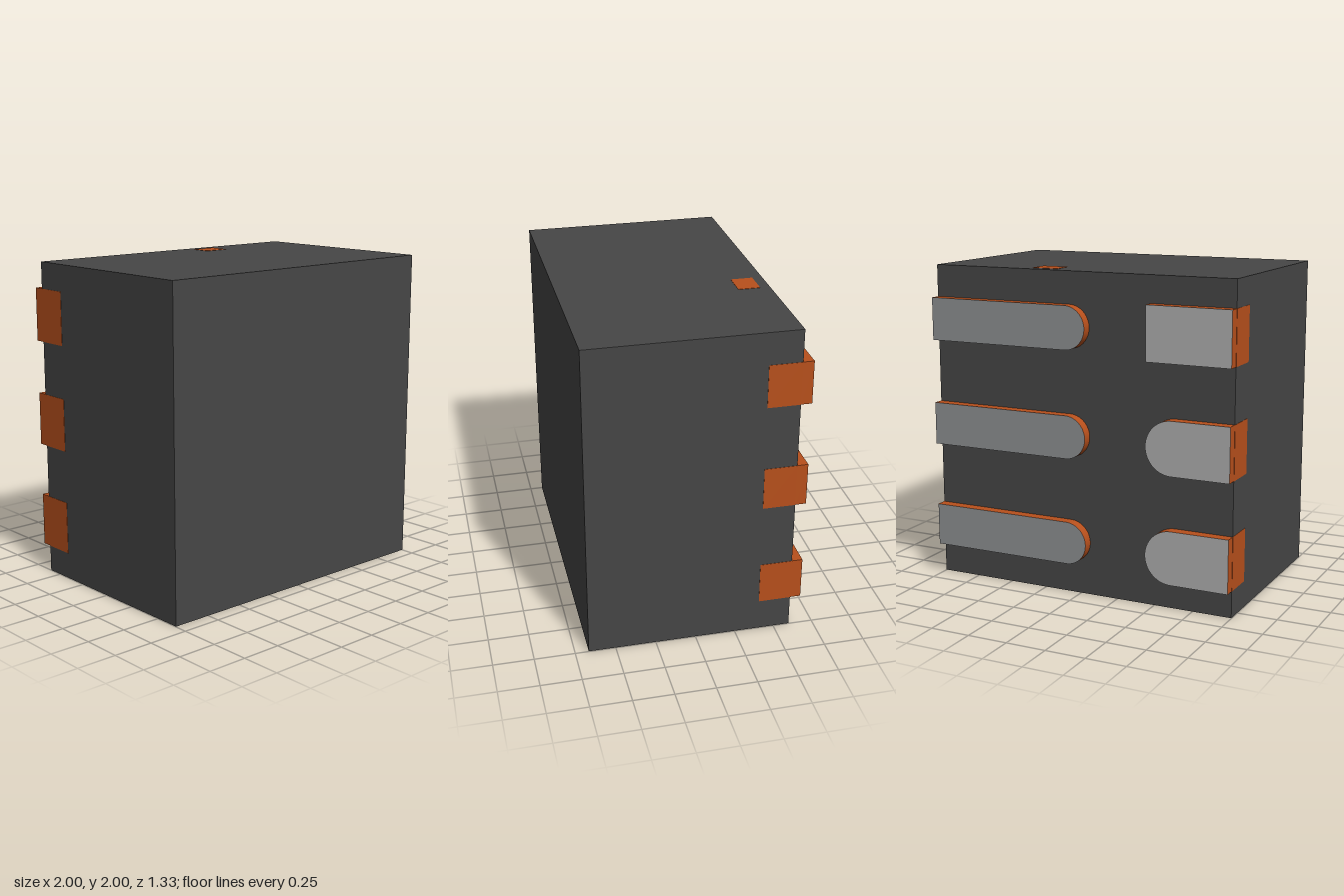
import * as THREE from 'three';

const paint = (color) => new THREE.MeshStandardMaterial({ color });

export function createModel() {
  const model = new THREE.Group();
  const dark = paint(0x464646), copper = paint(0xb8501c);
  const longFace = paint(0x8e9092), shortFace = paint(0xafafaf);
  const backZ = -0.6, padZ = -0.667, skin = 0.002;

  const add = (name, geometry, material, x, y, z) => {
    const mesh = new THREE.Mesh(geometry, material);
    mesh.name = name;
    mesh.position.set(x, y, z);
    model.add(mesh);
  };

  // Package block
  add('body', new THREE.BoxGeometry(2, 2, 1.267), dark, 0, 1, 0.0335);

  // Contact pad running from a side edge (side = +1 or -1) to an inner end, round or square
  const padGeometry = (side, length, height, round) => {
    const r = height / 2, inner = side * (1 - length);
    const shape = new THREE.Shape();
    shape.moveTo(side, -r);
    if (round) {
      const cx = inner + side * r;
      shape.lineTo(cx, -r);
      shape.absarc(cx, 0, r, -Math.PI / 2, Math.PI / 2, side > 0);
    } else {
      shape.lineTo(inner, -r);
      shape.lineTo(inner, r);
    }
    shape.lineTo(side, r);
    shape.closePath();
    return new THREE.ExtrudeGeometry(shape, { depth: backZ - padZ, bevelEnabled: false, curveSegments: 24 });
  };

  // Three rows of a long and a short pad, each wrapping into the side wall
  [0.333, 1, 1.667].forEach((y, row) => {
    add('longPad', padGeometry(1, 1.067, 0.267, true), [longFace, copper], 0, y, padZ);
    add('shortPad', padGeometry(-1, 0.533, 0.333, row < 2), [shortFace, copper], 0, y, padZ);
    for (const [side, height] of [[1, 0.267], [-1, 0.333]]) {
      add('sideContact', new THREE.BoxGeometry(0.1, height, 0.2), copper, side * (0.95 + skin), y, -0.5);
    }
  });

  // Metal tab exposed flush on the top and bottom
  add('throughTab', new THREE.BoxGeometry(0.167, 2 + 2 * skin, 0.135), copper, 0.265, 1, -0.47);

  return model;
}
